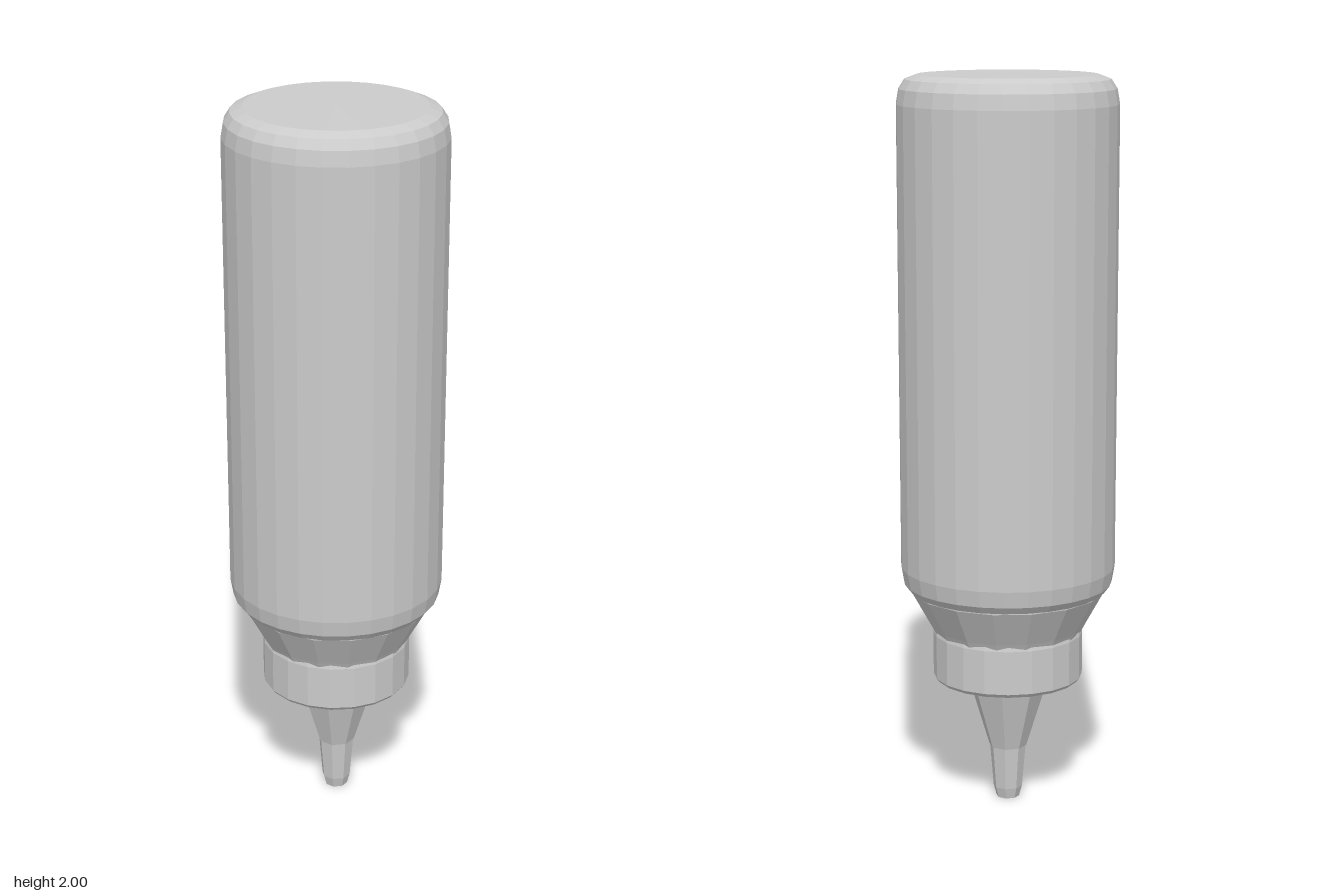
import * as THREE from 'three';

// Faceted turned part from [radius, height] pairs, listed bottom to top
function turned(name, sides, profile) {
  const points = profile.map(([r, y]) => new THREE.Vector2(r, y));
  const material = new THREE.MeshStandardMaterial({ color: 0xcccccc, flatShading: true });
  const mesh = new THREE.Mesh(new THREE.LatheGeometry(points, sides), material);
  mesh.name = name;
  return mesh;
}

export function createModel() {
  const group = new THREE.Group();
  group.name = 'squeezeBottle';

  // Slim tip and wider cone of the downward-pointing nozzle
  group.add(turned('nozzleTip', 8, [[0, 0], [0.032, 0], [0.04, 0.03], [0.05, 0.15]]));
  group.add(turned('nozzleCone', 8, [[0, 0.15], [0.052, 0.15], [0.112, 0.345], [0.112, 0.355]]));

  // Cap collar with its flat underside
  group.add(turned('capCollar', 20, [[0, 0.35], [0.197, 0.35], [0.205, 0.36], [0.205, 0.48], [0.2, 0.5]]));

  // Flared shoulder between cap and body
  group.add(turned('shoulder', 16, [[0.2, 0.48], [0.21, 0.5], [0.265, 0.6], [0.265, 0.62]]));

  // Tall body with softened rims and a flat end
  group.add(turned('bottleBody', 28, [
    [0.2, 0.605], [0.27, 0.605], [0.285, 0.625], [0.293, 0.67],
    [0.295, 1.92], [0.288, 1.96], [0.272, 1.985], [0.24, 1.997], [0, 2],
  ]));

  return group;
}
